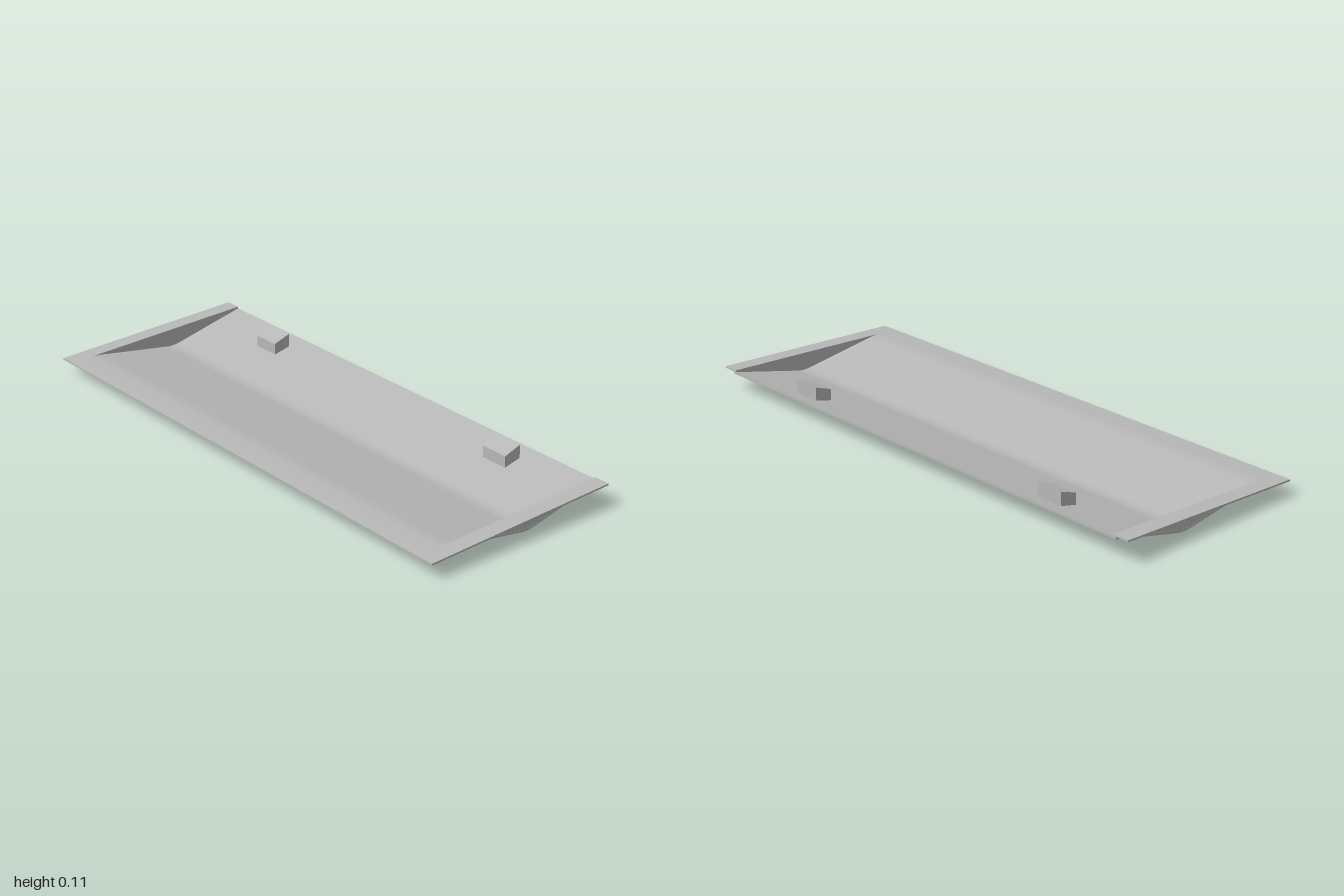
import * as THREE from 'three';
import { toCreasedNormals } from 'three/addons/utils/BufferGeometryUtils.js';

export function createModel() {
  const model = new THREE.Group();
  const grey = new THREE.MeshStandardMaterial({ color: 0xb8b8b8 });
  grey.name = 'satinGrey';

  // Extrude an x-y outline from z0 to z1, keeping sharp edges and smoothing the bends
  function slab(name, shape, z0, z1) {
    const geo = new THREE.ExtrudeGeometry(shape, { depth: z1 - z0, bevelEnabled: false, curveSegments: 8 });
    geo.translate(0, 0, z0);
    const mesh = new THREE.Mesh(toCreasedNormals(geo, 0.4), grey);
    mesh.name = name;
    model.add(mesh);
  }
  const outline = (pts) => new THREE.Shape(pts.map((p) => new THREE.Vector2(...p)));
  const rimTop = (x) => 0.058 + 0.038 * (x + 0.378);

  // Shallow tray: thin folded sheet with a soft valley
  const tray = new THREE.Shape();
  tray.moveTo(-0.378, 0.052);
  tray.lineTo(-0.29, 0.0545);
  tray.lineTo(0.035, 0.004);
  tray.quadraticCurveTo(0.067, -0.003, 0.1, 0.0045);
  tray.lineTo(0.375, 0.072);
  tray.lineTo(0.375, 0.08);
  tray.lineTo(0.1, 0.0145);
  tray.quadraticCurveTo(0.067, 0.006, 0.035, 0.0125);
  tray.lineTo(-0.22, 0.0525);
  tray.quadraticCurveTo(-0.27, rimTop(-0.27), -0.3, rimTop(-0.3));
  tray.lineTo(-0.378, rimTop(-0.378));
  slab('tray', tray, -0.95, 0.95);

  // Closed end walls filling the valley up to the rim
  const wall = outline([[-0.28, 0.056], [0.035, 0.008], [0.067, 0.004], [0.1, 0.009],
    [0.374, 0.076], [0.374, 0.083], [-0.28, 0.059]]);
  // Flat rim strips overhanging each end
  const strip = outline([[-0.378, 0.052], [0.375, 0.0805], [0.375, rimTop(0.375)], [-0.378, rimTop(-0.378)]]);
  // Wedge blocks rising from the upper slope of the tray
  const wedge = outline([[0.25, 0.046], [0.316, 0.062], [0.316, 0.115], [0.25, 0.092]]);

  for (const [side, s] of [['front', 1], ['back', -1]]) {
    const span = (a, b) => (s > 0 ? [a, b] : [-b, -a]);
    slab(side + 'EndWall', wall, ...span(0.94, 0.9495));
    slab(side + 'RimStrip', strip, ...span(0.94, 1));
    slab(side + 'Wedge', wedge, ...span(0.553, 0.658));
  }
  return model;
}
